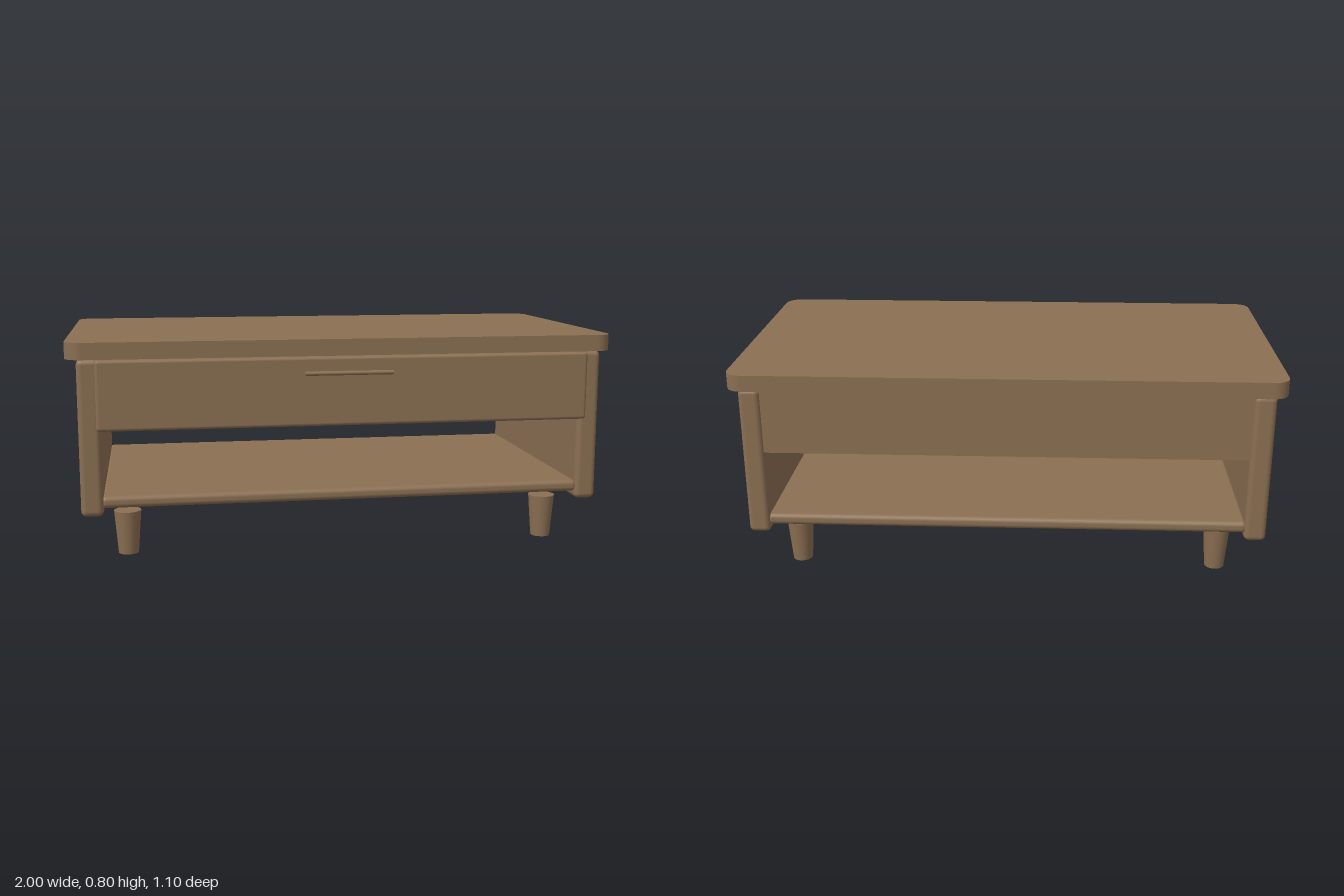
import * as THREE from 'three';
import { RoundedBoxGeometry } from 'three/addons/geometries/RoundedBoxGeometry.js';

export function createModel() {
  const table = new THREE.Group();
  table.name = 'coffeeTable';
  const wood = new THREE.MeshStandardMaterial({ color: 0x8b6f52 });
  wood.name = 'brown wood';

  const add = (name, geometry, x = 0, y = 0, z = 0) => {
    const mesh = new THREE.Mesh(geometry, wood);
    mesh.name = name;
    mesh.position.set(x, y, z);
    table.add(mesh);
    return mesh;
  };

  // Box given by its extents, with rounded edges when r > 0
  const block = (name, [x0, x1], [y0, y1], [z0, z1], r = 0) => {
    const size = [x1 - x0, y1 - y0, z1 - z0];
    const geometry = r > 0 ? new RoundedBoxGeometry(...size, 4, r) : new THREE.BoxGeometry(...size);
    return add(name, geometry, (x0 + x1) / 2, (y0 + y1) / 2, (z0 + z1) / 2);
  };

  // Table top: a slab with rounded corners in plan
  const w = 1, back = 0.553, front = 0.513, r = 0.06;
  const plan = new THREE.Shape();
  plan.absarc(w - r, back - r, r, 0, Math.PI / 2);
  plan.absarc(-w + r, back - r, r, Math.PI / 2, Math.PI);
  plan.absarc(-w + r, -front + r, r, Math.PI, Math.PI * 1.5);
  plan.absarc(w - r, -front + r, r, Math.PI * 1.5, Math.PI * 2);
  plan.closePath();
  const slab = new THREE.ExtrudeGeometry(plan, { depth: 0.06, bevelEnabled: false, curveSegments: 10 });
  slab.rotateX(-Math.PI / 2);
  add('tableTop', slab, 0, 0.741, 0);

  // Drawer case, drawer front and open shelf
  block('drawerCase', [-0.89, 0.89], [0.495, 0.741], [-0.52, 0.495]);
  block('drawerFront', [-0.895, 0.895], [0.49, 0.741], [0.494, 0.536], 0.012);
  block('shelf', [-0.89, 0.89], [0.202, 0.246], [-0.52, 0.485], 0.018);

  // Slim round drawer pull
  const pull = new THREE.CylinderGeometry(0.008, 0.008, 0.32, 12);
  pull.rotateZ(Math.PI / 2);
  add('drawerPull', pull, 0, 0.682, 0.542);

  // Side panels and tapered legs
  for (const [side, label] of [[1, 'left'], [-1, 'right']]) {
    const xs = side > 0 ? [0.88, 0.96] : [-0.96, -0.88];
    block(label + 'SidePanel', xs, [0.175, 0.741], [-0.53, 0.495], 0.02);
    for (const [z, end] of [[0.345, 'Front'], [-0.38, 'Back']]) {
      add(label + end + 'Leg', new THREE.CylinderGeometry(0.05, 0.037, 0.162, 24), side * 0.8, 0.081, z);
    }
  }
  return table;
}
